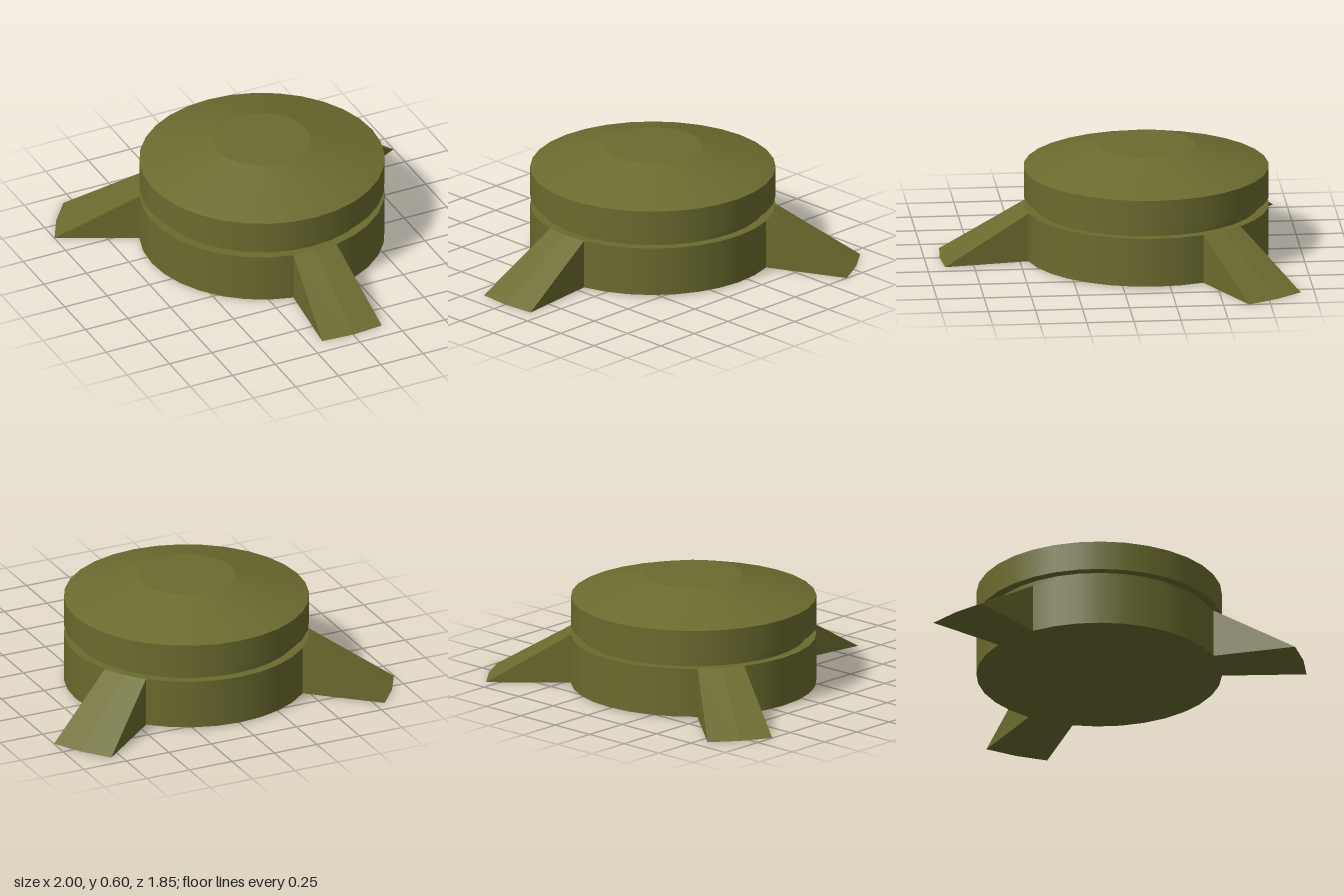
import * as THREE from 'three';

const SIDES = 32;
const RADIUS = 0.65;
const BOTTOM = 0.006;
const LEG_TOP = 0.27;
const CENTRE_Z = -0.18;

// Solid wedge foot: wide wall at the body, sloping to a sharp curved toe
function legGeometry() {
  const ring = (r, y, halfAngle) => [-1, 0, 1].map((k) => {
    const a = THREE.MathUtils.degToRad(k * halfAngle);
    return new THREE.Vector3(r * Math.sin(a), y, r * Math.cos(a));
  });
  const top = ring(RADIUS, LEG_TOP, 11.25);
  const base = ring(RADIUS, BOTTOM, 11.25);
  const toe = ring(1.098, 0, 9.2);
  const points = [];
  const quad = (a, b, c, d) => points.push(a, b, c, a, c, d);
  for (let i = 0; i < 2; i++) {
    quad(top[i], toe[i], toe[i + 1], top[i + 1]);
    quad(base[i], base[i + 1], toe[i + 1], toe[i]);
  }
  points.push(top[0], base[0], toe[0], top[2], toe[2], base[2]);
  const geometry = new THREE.BufferGeometry().setFromPoints(points);
  geometry.computeVertexNormals();
  return geometry;
}

export function createModel() {
  const model = new THREE.Group();
  model.name = 'threeLeggedDisc';
  const material = new THREE.MeshStandardMaterial({ color: 0x6b6b2f });

  const body = new THREE.Group();
  body.name = 'body';
  body.position.z = CENTRE_Z;
  model.add(body);

  // Round body: one band per profile step, so the edges between stay sharp
  const bands = [
    ['underside', 0, BOTTOM, RADIUS, BOTTOM],
    ['baseWall', RADIUS, BOTTOM, RADIUS, LEG_TOP],
    ['baseLedge', RADIUS, LEG_TOP, 0.6, LEG_TOP],
    ['grooveWall', 0.6, LEG_TOP, 0.6, 0.32],
    ['lidLip', 0.6, 0.32, RADIUS, 0.32],
    ['lidWall', RADIUS, 0.32, RADIUS, 0.48],
    ['lidSlope', RADIUS, 0.48, 0.26, 0.6],
    ['lidTop', 0.26, 0.6, 0, 0.6],
  ];
  for (const [name, r0, y0, r1, y1] of bands) {
    const profile = [new THREE.Vector2(r0, y0), new THREE.Vector2(r1, y1)];
    const band = new THREE.Mesh(new THREE.LatheGeometry(profile, SIDES), material);
    band.name = name;
    body.add(band);
  }

  // Three legs: one in front, two behind, aligned to the body's facets
  const wedge = legGeometry();
  const legs = [['frontLeg', 0], ['leftLeg', 11], ['rightLeg', -11]];
  for (const [name, steps] of legs) {
    const leg = new THREE.Mesh(wedge, material);
    leg.name = name;
    leg.rotation.y = (steps * 2 * Math.PI) / SIDES;
    body.add(leg);
  }
  return model;
}
